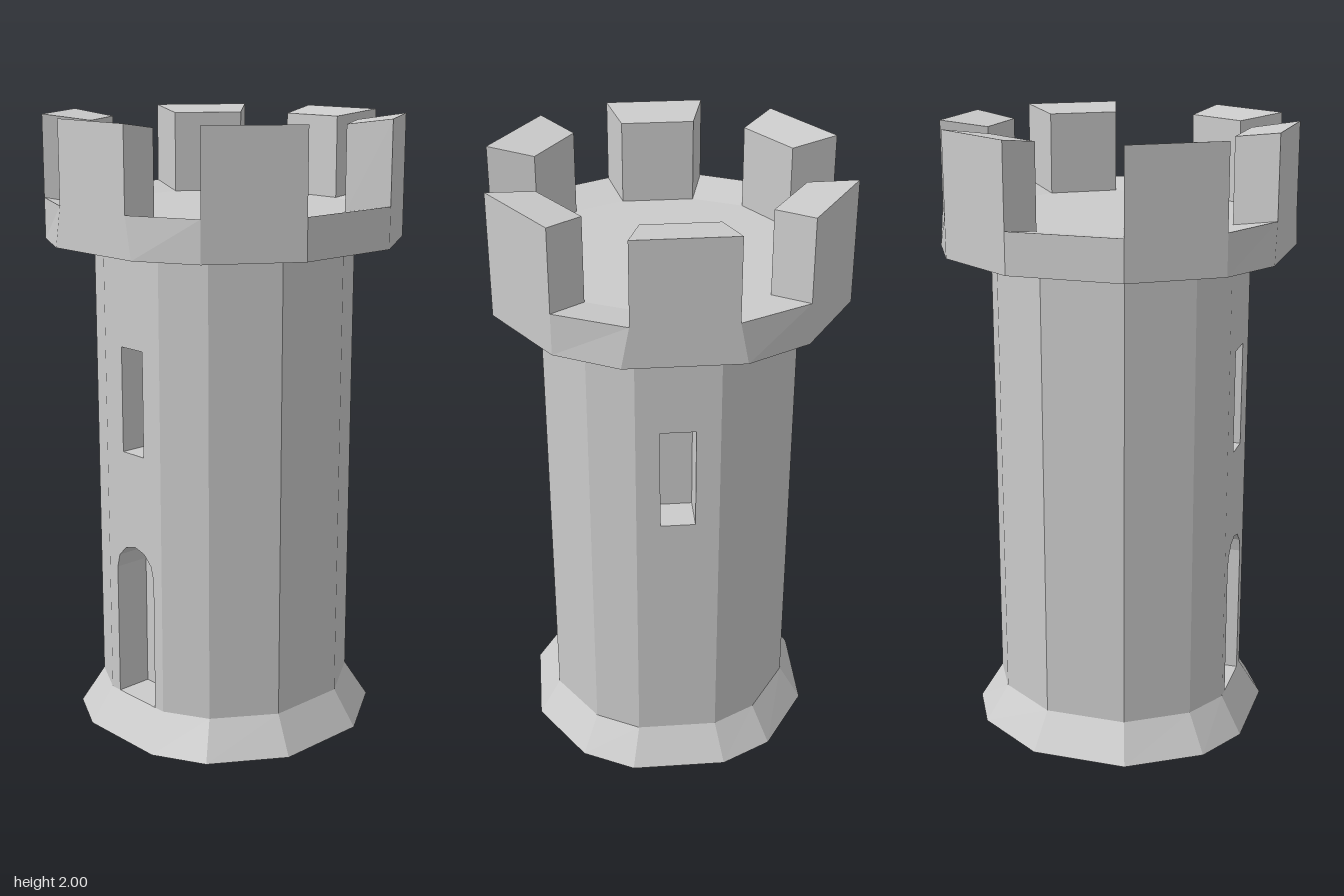
import * as THREE from 'three';

const material = new THREE.MeshStandardMaterial({ color: 0xcccccc, flatShading: true });

// Mirror three corner points (x, z) into a twelve-sided outline at height y
function outline(corners, y) {
  const back = [...corners].reverse();
  const place = (list, sx, sz) => list.map(([x, z]) => [x * sx, y, z * sz]);
  return [...place(corners, 1, 1), ...place(back, 1, -1),
    ...place(corners, -1, -1), ...place(back, -1, 1)];
}

// Flat-sided skin through stacked outlines, capped at both ends; skip leaves out sides
function loft(name, sections, skip = []) {
  const pos = [];
  const tri = (a, b, c) => pos.push(...a, ...b, ...c);
  const n = sections[0].length;
  for (let s = 0; s + 1 < sections.length; s++) {
    const lo = sections[s], hi = sections[s + 1];
    for (let i = 0; i < n; i++) {
      if (skip.includes(i)) continue;
      const j = (i + 1) % n;
      tri(lo[i], lo[j], hi[j]);
      tri(lo[i], hi[j], hi[i]);
    }
  }
  const first = sections[0], last = sections[sections.length - 1];
  for (let i = 1; i < n - 1; i++) {
    tri(first[0], first[i + 1], first[i]);
    tri(last[0], last[i], last[i + 1]);
  }
  const geo = new THREE.BufferGeometry();
  geo.setAttribute('position', new THREE.Float32BufferAttribute(pos, 3));
  geo.computeVertexNormals();
  const mesh = new THREE.Mesh(geo, material);
  mesh.name = name;
  return mesh;
}

const BASE_TOP = 0.12, WALL_TOP = 1.61, DEPTH = 0.12, HALF = 0.13, FACE = 0.395;

// Side wall with a recessed window slit and, if wanted, an arched doorway
function wallPanel(side, halfWindow, hasDoor) {
  const group = new THREE.Group();
  group.name = hasDoor ? 'doorWall' : 'windowWall';
  const shape = new THREE.Shape();
  shape.moveTo(-HALF, BASE_TOP);
  if (hasDoor) {
    const r = 0.09, spring = 0.56;
    shape.lineTo(-r, BASE_TOP);
    for (let i = 0; i <= 6; i++) {
      const a = Math.PI * (1 - i / 6);
      shape.lineTo(r * Math.cos(a), spring + r * Math.sin(a));
    }
    shape.lineTo(r, BASE_TOP);
  }
  shape.lineTo(HALF, BASE_TOP);
  shape.lineTo(HALF, WALL_TOP);
  shape.lineTo(-HALF, WALL_TOP);
  shape.closePath();
  const w = halfWindow;
  shape.holes.push(new THREE.Path([[-w, 0.96], [-w, 1.3], [w, 1.3], [w, 0.96]]
    .map(([x, y]) => new THREE.Vector2(x, y))));
  const wall = new THREE.Mesh(
    new THREE.ExtrudeGeometry(shape, { depth: DEPTH, bevelEnabled: false }), material);
  wall.name = 'wallFace';
  const back = new THREE.Mesh(
    new THREE.PlaneGeometry(HALF * 2, WALL_TOP - BASE_TOP), material);
  back.name = 'recessBack';
  back.position.y = (WALL_TOP + BASE_TOP) / 2;
  group.add(wall, back);
  group.rotation.y = side * Math.PI / 2;
  group.position.x = side * (FACE - DEPTH);
  return group;
}

export function createModel() {
  const model = new THREE.Group();
  model.name = 'tower';

  // Flared foot and shaft
  const shaftCorners = [[0.132, 0.395], [0.32, 0.27], [FACE, HALF]];
  const footCorners = [[0.155, 0.466], [0.38, 0.32], [0.466, 0.155]];
  const body = new THREE.Group();
  body.name = 'body';
  body.add(
    loft('foot', [outline(footCorners, 0), outline(shaftCorners, BASE_TOP)]),
    loft('shaft', [outline(shaftCorners, BASE_TOP), outline(shaftCorners, WALL_TOP)], [2, 8]),
    wallPanel(1, 0.055, false),
    wallPanel(-1, 0.05, true));
  body.position.set(-0.004, 0, 0.004);
  model.add(body);

  // Overhanging platform with a slightly sunken floor
  const under = [[0.18, 0.54], [0.44, 0.37], [0.54, 0.18]];
  const rim = [[0.18, 0.54], [0.44, 0.37], [0.54, 0.155]];
  const inner = [[0.135, 0.395], [0.325, 0.27], [0.395, 0.115]];
  const rimLow = outline(rim, 1.74), floor = outline(inner, 1.715);
  model.add(loft('platform', [outline(under, WALL_TOP), rimLow, floor]));

  // Battlements on every second side, tops sloping inwards
  const rimHigh = outline(rim, 2), innerHigh = outline(inner, 1.98);
  const battlements = new THREE.Group();
  battlements.name = 'battlements';
  for (let i = 0; i < 12; i += 2) {
    const block = (out, inn) => [out[i], out[i + 1], inn[i + 1], inn[i]];
    battlements.add(loft('merlon', [block(rimLow, floor), block(rimHigh, innerHigh)]));
  }
  model.add(battlements);
  return model;
}
